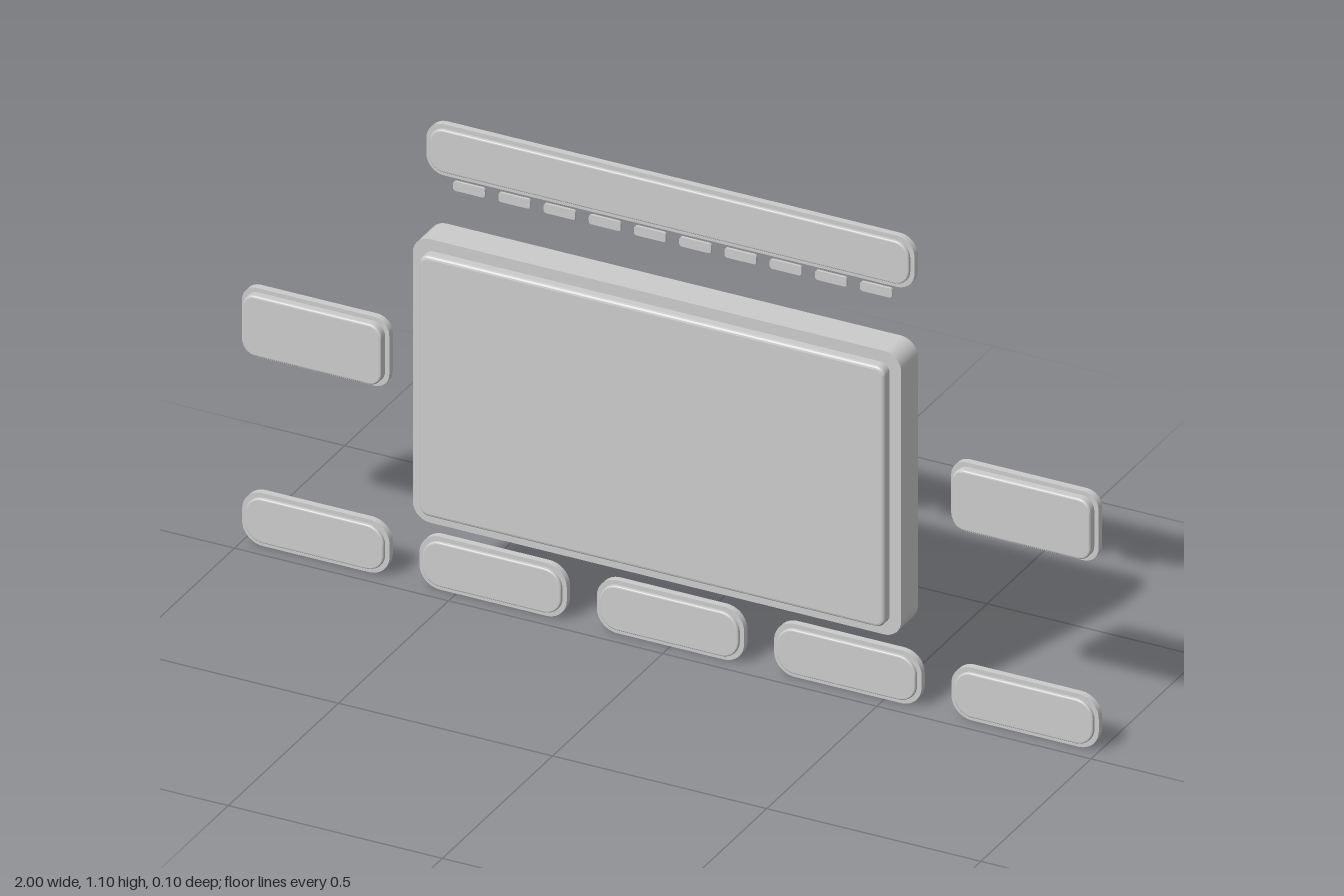
import * as THREE from 'three';

const material = new THREE.MeshStandardMaterial({ color: 0xcccccc });
const BACK = -0.05;

// Rounded rectangle centred on the origin
function roundedRect(w, h, r) {
  const x = w / 2, y = h / 2, s = new THREE.Shape();
  s.moveTo(-x + r, -y);
  s.lineTo(x - r, -y);
  s.absarc(x - r, -y + r, r, -Math.PI / 2, 0);
  s.lineTo(x, y - r);
  s.absarc(x - r, y - r, r, 0, Math.PI / 2);
  s.lineTo(-x + r, y);
  s.absarc(-x + r, y - r, r, Math.PI / 2, Math.PI);
  s.lineTo(-x, -y + r);
  s.absarc(-x + r, -y + r, r, Math.PI, Math.PI * 1.5);
  return s;
}

// Slab between z0 and z1, with an optional rounded edge of size b
function slab(name, w, h, r, z0, z1, b = 0) {
  const geometry = new THREE.ExtrudeGeometry(roundedRect(w - 2 * b, h - 2 * b, r - b), {
    depth: z1 - z0 - 2 * b,
    bevelEnabled: b > 0,
    bevelThickness: b,
    bevelSize: b,
    bevelSegments: 3,
    curveSegments: 6,
  });
  geometry.translate(0, 0, z0 + b);
  const mesh = new THREE.Mesh(geometry, material);
  mesh.name = name;
  return mesh;
}

// Back plate with a smaller raised face on its front
function panel(name, x, y, { w, h, r, plateFront, faceFront, inset, bevel }) {
  const group = new THREE.Group();
  group.name = name;
  group.position.set(x, y, 0);
  group.add(slab(name + 'Plate', w, h, r, BACK, plateFront));
  group.add(slab(name + 'Face', w - 2 * inset, h - 2 * inset, r - inset * 0.7,
    plateFront - 2 * bevel, faceFront, bevel));
  return group;
}

export function createModel() {
  const model = new THREE.Group();
  model.name = 'displayPanelSet';

  // Main screen
  model.add(panel('screen', 0, 0.525, {
    w: 1.14, h: 0.67, r: 0.04, plateFront: 0.026, faceFront: 0.051, inset: 0.027, bevel: 0.008,
  }));

  // Header bar and the row of dashes under it
  model.add(panel('header', 0, 1.042, {
    w: 1.14, h: 0.121, r: 0.042, plateFront: -0.035, faceFront: -0.027, inset: 0.01, bevel: 0.004,
  }));
  for (let i = 0; i < 10; i++) {
    const dash = slab('dash', 0.074, 0.022, 0.006, BACK, -0.044);
    dash.position.set((i - 4.5) * 0.1056, 0.957, 0);
    model.add(dash);
  }

  // Side buttons
  for (const side of [-1, 1]) {
    model.add(panel(side > 0 ? 'leftButton' : 'rightButton', side * 0.828, 0.526, {
      w: 0.344, h: 0.163, r: 0.036, plateFront: -0.034, faceFront: -0.015, inset: 0.01, bevel: 0.005,
    }));
  }

  // Bottom row of buttons
  for (let i = -2; i <= 2; i++) {
    model.add(panel('bottomButton', i * 0.414, 0.0625, {
      w: 0.344, h: 0.125, r: 0.048, plateFront: -0.035, faceFront: -0.027, inset: 0.01, bevel: 0.004,
    }));
  }
  return model;
}
